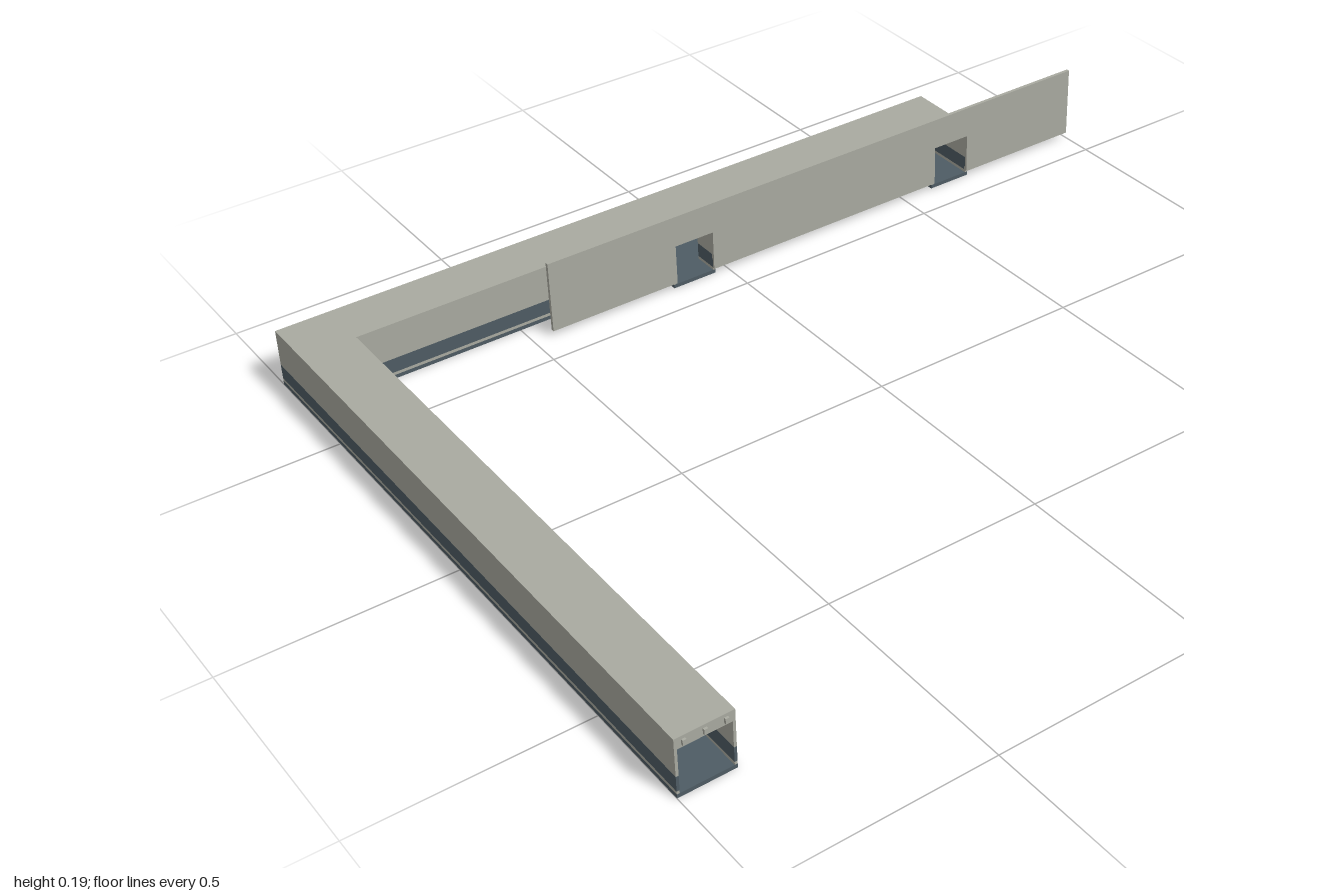
import * as THREE from 'three';

const concrete = new THREE.MeshStandardMaterial({ color: 0xa9aaa0 });
concrete.name = 'warm grey concrete';
const steel = new THREE.MeshStandardMaterial({ color: 0x4e5c64 });
steel.name = 'blue grey steel';

// Corridor plan as [x, z] corners; `open` marks edges that are doorways.
const plan = [
  { p: [-0.762, -0.692] },
  { p: [-0.58, -0.692], open: true },
  { p: [-0.58, -0.584] },
  { p: [-0.64, -0.584] },
  { p: [-0.64, 0.032] },
  { p: [-0.58, 0.032], open: true },
  { p: [-0.58, 0.142] },
  { p: [-0.64, 0.142] },
  { p: [-0.64, 0.876] },
  { p: [0.754, 0.876], open: true },
  { p: [0.754, 1] },
  { p: [-0.762, 1] },
];
const WALL = 0.006;

// Flat slab with the corridor's plan between two heights
function slab(name, material, y0, y1) {
  const shape = new THREE.Shape(plan.map(({ p }) => new THREE.Vector2(p[0], p[1])));
  const geo = new THREE.ExtrudeGeometry(shape, { depth: y1 - y0, bevelEnabled: false });
  geo.rotateX(Math.PI / 2).translate(0, y1, 0);
  const mesh = new THREE.Mesh(geo, material);
  mesh.name = name;
  return mesh;
}

// Ring of thin walls along the plan, leaving the doorways open
function wallRing(name, material, y0, y1) {
  const group = new THREE.Group();
  group.name = name;
  plan.forEach(({ p: a, open }, i) => {
    if (open) return;
    const b = plan[(i + 1) % plan.length].p;
    const dx = b[0] - a[0], dz = b[1] - a[1];
    const length = Math.hypot(dx, dz);
    const nx = -dz / length, nz = dx / length; // inward direction
    const geo = new THREE.BoxGeometry(
      Math.abs(dx) || WALL, y1 - y0, Math.abs(dz) || WALL);
    const wall = new THREE.Mesh(geo, material);
    wall.name = 'wall';
    wall.position.set(
      (a[0] + b[0]) / 2 + nx * WALL / 2, (y0 + y1) / 2, (a[1] + b[1]) / 2 + nz * WALL / 2);
    group.add(wall);
  });
  return group;
}

// Tall upright panel with two doorways notched into its lower edge
function doorPanel() {
  const bottom = 0.014, top = 0.185, lintel = 0.11;
  const shape = new THREE.Shape();
  shape.moveTo(-1, bottom);
  for (const [z0, z1] of [[-0.686, -0.59], [0.038, 0.136]]) {
    shape.lineTo(z0, bottom);
    shape.lineTo(z0, lintel);
    shape.lineTo(z1, lintel);
    shape.lineTo(z1, bottom);
  }
  shape.lineTo(0.455, bottom);
  shape.lineTo(0.455, top);
  shape.lineTo(-1, top);
  const geo = new THREE.ExtrudeGeometry(shape, { depth: 0.008, bevelEnabled: false });
  geo.rotateY(-Math.PI / 2).translate(-0.575, 0, 0);
  const mesh = new THREE.Mesh(geo, concrete);
  mesh.name = 'doorPanel';
  return mesh;
}

export function createModel() {
  const model = new THREE.Group();
  model.name = 'corridor';
  model.add(
    slab('floor', steel, 0, 0.009),
    wallRing('skirting', concrete, 0.009, 0.016),
    wallRing('lowerWallBand', steel, 0.016, 0.05),
    wallRing('upperWalls', concrete, 0.05, 0.11),
    slab('roof', concrete, 0.11, 0.135),
    doorPanel());

  // Small lugs above the open end
  for (const z of [0.895, 0.938, 0.981]) {
    const lug = new THREE.Mesh(new THREE.BoxGeometry(0.008, 0.012, 0.008), concrete);
    lug.name = 'endLug';
    lug.position.set(0.755, 0.122, z);
    model.add(lug);
  }
  return model;
}
